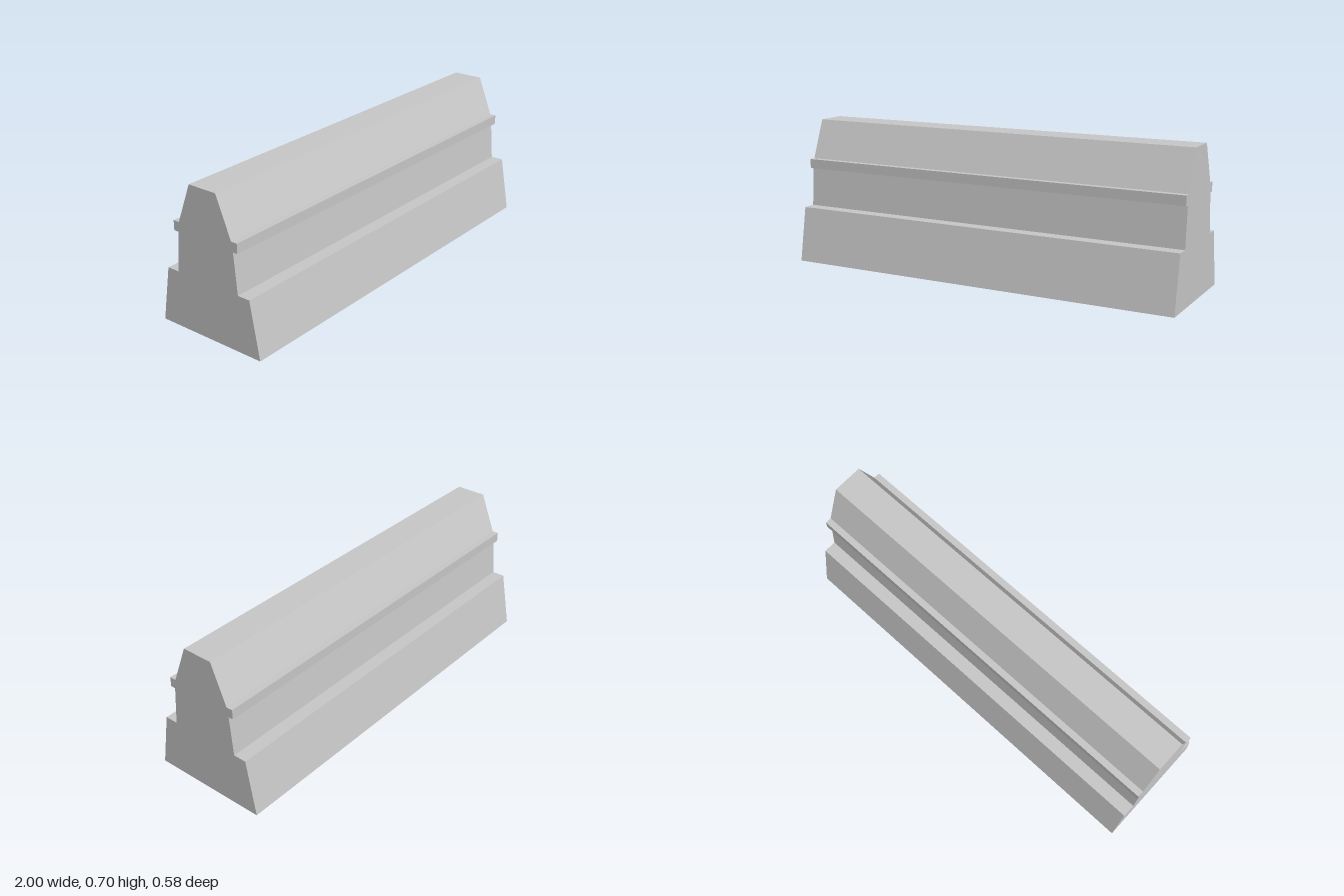
import * as THREE from 'three';

const HALF_LENGTH = 1;

// Half cross-section as [z, y], from the foot up to the crest.
const half = [
  [0.288, 0], [0.24, 0.272], [0.176, 0.272], [0.16, 0.466],
  [0.184, 0.466], [0.184, 0.513], [0.152, 0.513], [0.076, 0.705],
];
const mirrored = (points) => points.map(([z, y]) => [-z, y]).reverse();

// Flat-faced strip that sweeps a piece of the cross-section along x.
function sweep(points) {
  const positions = [];
  for (let i = 0; i < points.length - 1; i++) {
    const [z0, y0] = points[i], [z1, y1] = points[i + 1];
    const a = [-HALF_LENGTH, y0, z0], b = [HALF_LENGTH, y0, z0];
    const c = [HALF_LENGTH, y1, z1], d = [-HALF_LENGTH, y1, z1];
    positions.push(...a, ...b, ...c, ...a, ...c, ...d);
  }
  const geometry = new THREE.BufferGeometry();
  geometry.setAttribute('position', new THREE.Float32BufferAttribute(positions, 3));
  geometry.computeVertexNormals();
  return geometry;
}

export function createModel() {
  const group = new THREE.Group();
  group.name = 'concreteBarrier';
  const concrete = new THREE.MeshStandardMaterial({ color: 0xc8c8c8, side: THREE.DoubleSide });
  concrete.name = 'concreteGrey';

  const add = (name, geometry) => {
    const mesh = new THREE.Mesh(geometry, concrete);
    mesh.name = name;
    group.add(mesh);
  };

  // Long sides: foot with ledge, waist, projecting rib and sloped shoulder
  const parts = { Foot: [0, 3], Waist: [2, 4], Rib: [3, 7], Shoulder: [6, 8] };
  for (const [name, [from, to]] of Object.entries(parts)) {
    const points = half.slice(from, to);
    add('front' + name, sweep(points));
    add('back' + name, sweep(mirrored(points)));
  }

  // Flat crest
  const [crestZ, crestY] = half[half.length - 1];
  add('crest', sweep([[crestZ, crestY], [-crestZ, crestY]]));

  // End walls; the underside stays open
  const outline = new THREE.Shape(
    [...half, ...mirrored(half)].map(([z, y]) => new THREE.Vector2(z, y)));
  for (const side of [1, -1]) {
    const end = new THREE.ShapeGeometry(outline);
    end.rotateY(side * Math.PI / 2);
    end.translate(side * HALF_LENGTH, 0, 0);
    add(side > 0 ? 'leftEnd' : 'rightEnd', end);
  }
  return group;
}
